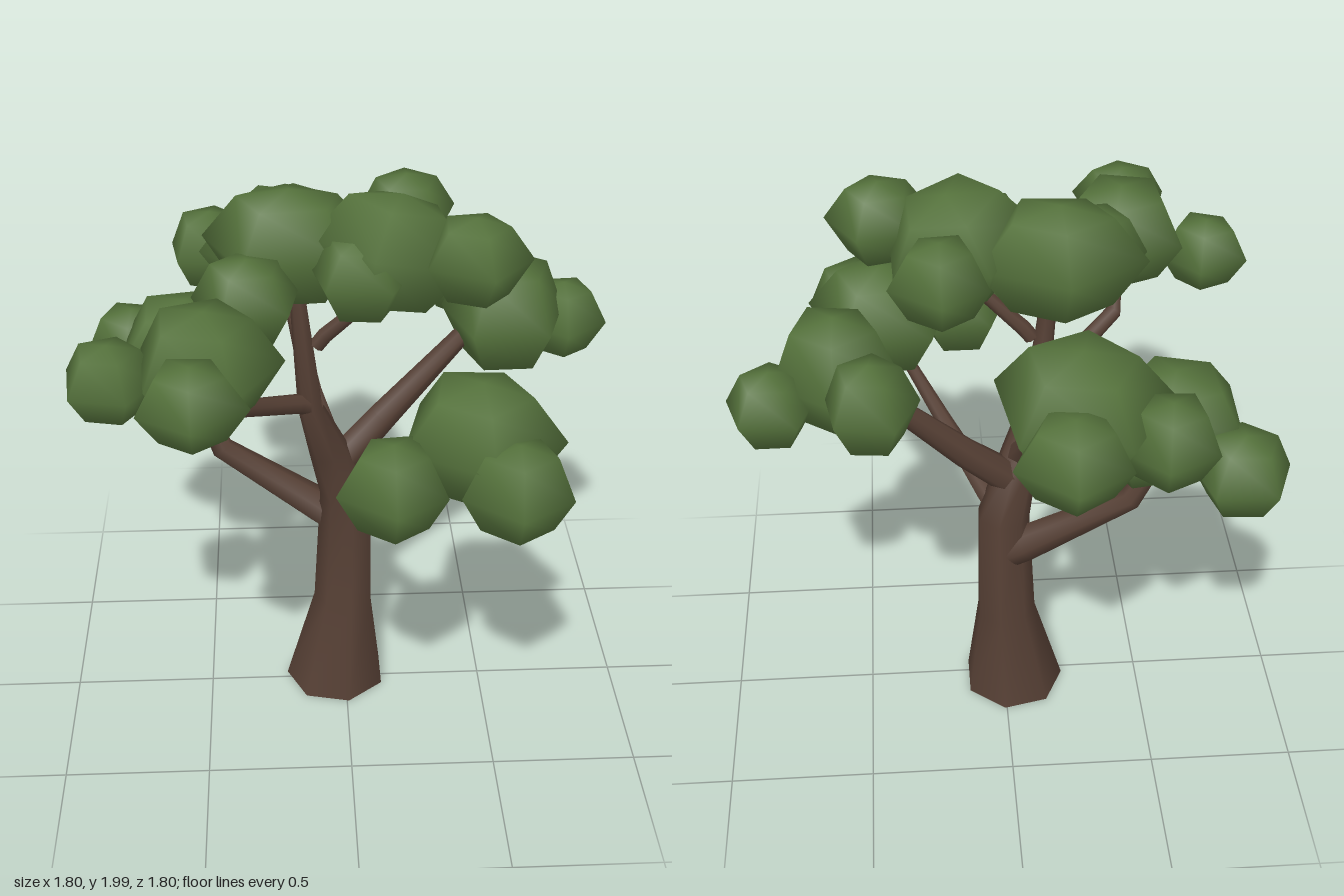
import * as THREE from 'three';
import { mergeVertices } from 'three/addons/utils/BufferGeometryUtils.js';

const bark = new THREE.MeshStandardMaterial({ name: 'bark', color: 0x553f34 });
const leaf = new THREE.MeshStandardMaterial({ name: 'leaf', color: 0x55723c });

const SIDES = 7;

// Smooth tapered limb swept through [x, y, z, radius] points, with flat end caps
function limbGeometry(path) {
  const pts = path.map(([x, y, z]) => new THREE.Vector3(x, y, z));
  const up = new THREE.Vector3(0, 1, 0);
  const pos = [], idx = [];
  pts.forEach((p, k) => {
    const before = pts[Math.max(k - 1, 0)], after = pts[Math.min(k + 1, pts.length - 1)];
    const dir = p.y === 0 ? up : after.clone().sub(before).normalize();
    const turn = new THREE.Quaternion().setFromUnitVectors(up, dir);
    for (let i = 0; i < SIDES; i++) {
      const a = ((i + 0.5) / SIDES) * Math.PI * 2;
      const v = new THREE.Vector3(Math.cos(a), 0, Math.sin(a)).multiplyScalar(path[k][3]);
      pos.push(...v.applyQuaternion(turn).add(p).toArray());
    }
  });
  for (let k = 0; k < pts.length - 1; k++) {
    for (let i = 0; i < SIDES; i++) {
      const a = k * SIDES + i, b = k * SIDES + ((i + 1) % SIDES);
      idx.push(a, a + SIDES, b, b, a + SIDES, b + SIDES);
    }
  }
  // Caps get their own corners so the rims stay sharp
  const low = pts.length * SIDES, high = low + SIDES;
  pos.push(...pos.slice(0, SIDES * 3), ...pos.slice(-SIDES * 3));
  for (let i = 1; i < SIDES - 1; i++) idx.push(low, low + i, low + i + 1, high, high + i + 1, high + i);
  const geo = new THREE.BufferGeometry();
  geo.setAttribute('position', new THREE.Float32BufferAttribute(pos, 3));
  geo.setIndex(idx);
  geo.computeVertexNormals();
  return geo;
}

// Five-sided leaf clump: wide middle ring, narrower rings above and below, low peaks
function clumpGeometry(seed, tip, rx, ry, rz) {
  const base = new THREE.SphereGeometry(1, 5, 4);
  base.deleteAttribute('normal');
  base.deleteAttribute('uv');
  const geo = mergeVertices(base, 1e-3);
  const p = geo.attributes.position;
  for (let i = 0; i < p.count; i++) {
    const x = p.getX(i), y = p.getY(i), z = p.getZ(i);
    const n = Math.sin(seed * 7.3 + x * 5.1 + y * 3.7 + z * 4.3);
    const shoulder = Math.abs(y) > 0.1 && Math.abs(y) < 0.9;
    const spread = (shoulder ? 0.88 : 1) * (1 + 0.04 * n);
    p.setXYZ(i, x * spread, y * (shoulder ? 1.17 : 1) + 0.08 * n * (1 - Math.abs(y)), z * spread);
  }
  geo.rotateY(Math.PI - THREE.MathUtils.degToRad(tip));
  geo.scale(rx, ry, rz);
  geo.computeVertexNormals();
  return geo;
}

const limbs = {
  trunk: [[-0.034, 0, -0.03, 0.184], [-0.005, 0.36, -0.037, 0.107], [0.005, 0.8, -0.052, 0.093],
    [-0.06, 1.02, 0.02, 0.068], [-0.12, 1.22, 0.08, 0.043], [-0.155, 1.6, 0.08, 0.028], [-0.17, 1.75, 0.05, 0.02]],
  lowBranchRight: [[-0.02, 0.67, -0.08, 0.065], [-0.07, 0.7, -0.09, 0.065], [-0.43, 0.93, -0.145, 0.042], [-0.55, 1.22, -0.2, 0.026]],
  lowBranchFront: [[0.02, 0.81, -0.02, 0.043], [0.05, 0.84, 0.02, 0.043], [0.2, 0.95, 0.34, 0.03], [0.36, 1.22, 0.46, 0.019]],
  thickBranchLeft: [[-0.01, 0.95, -0.02, 0.06], [0.13, 1.09, -0.07, 0.052], [0.45, 1.42, -0.14, 0.03]],
  backBranch: [[-0.05, 1.02, 0, 0.045], [-0.11, 1.18, -0.1, 0.036], [-0.2, 1.48, -0.46, 0.022]],
  highBranchFront: [[-0.1, 1.22, 0.07, 0.036], [-0.16, 1.25, 0.11, 0.034], [-0.41, 1.37, 0.35, 0.029], [-0.43, 1.55, 0.45, 0.018]],
  topBranch: [[-0.1, 1.45, 0.08, 0.026], [-0.07, 1.49, 0.08, 0.027], [0.13, 1.68, 0.11, 0.02]],
};

// Leaf clumps: x, y, z, radius, half height, direction of one corner, optional depth radius
const clumps = [
  [-0.205, 1.55, -0.475, 0.285, 0.2, 29],
  [-0.16, 1.53, -0.71, 0.19, 0.14, 272],
  [-0.46, 1.5, -0.6, 0.165, 0.14, 207],
  [-0.74, 1.22, -0.4, 0.175, 0.14, 94],
  [-0.42, 1.33, -0.37, 0.155, 0.14, 225],
  [-0.54, 1.3, -0.205, 0.255, 0.185, 0],
  [-0.18, 1.78, 0.015, 0.28, 0.19, 195, 0.215],
  [-0.315, 1.69, 0.23, 0.178, 0.14, 190],
  [-0.44, 1.61, 0.49, 0.24, 0.175, 140],
  [-0.735, 1.54, 0.455, 0.158, 0.122, 283],
  [-0.475, 1.61, 0.73, 0.173, 0.122, 88],
  [0.14, 1.8, 0.12, 0.265, 0.185, 321, 0.245],
  [0.04, 1.76, 0.225, 0.168, 0.135, 60],
  [0.205, 1.81, -0.155, 0.168, 0.137, 270],
  [0.435, 1.5, -0.36, 0.16, 0.152, 97],
  [0.545, 1.47, -0.1, 0.222, 0.195, 270],
  [0.755, 1.4, -0.195, 0.155, 0.13, 18],
  [0.39, 1.82, 0.24, 0.175, 0.137, 5],
  [0.4, 1.32, 0.47, 0.26, 0.195, 14],
  [0.118, 1.24, 0.625, 0.181, 0.155, 90],
  [0.495, 1.25, 0.66, 0.184, 0.155, 92],
];

export function createModel() {
  const tree = new THREE.Group();
  tree.name = 'tree';

  // Trunk and branches
  for (const [name, path] of Object.entries(limbs)) {
    const limb = new THREE.Mesh(limbGeometry(path), bark);
    limb.name = name;
    tree.add(limb);
  }

  // Crown
  const crown = new THREE.Group();
  crown.name = 'crown';
  clumps.forEach(([x, y, z, r, h, tip, depth = r], i) => {
    const clump = new THREE.Mesh(clumpGeometry(i + 1, tip, r, h, depth), leaf);
    clump.name = 'leafClump' + (i + 1);
    clump.position.set(x, y, z);
    // The highest clump leans away to the back left
    if (tip === 321) clump.rotation.set(-0.15, 0, -0.2);
    crown.add(clump);
  });
  tree.add(crown);
  return tree;
}
